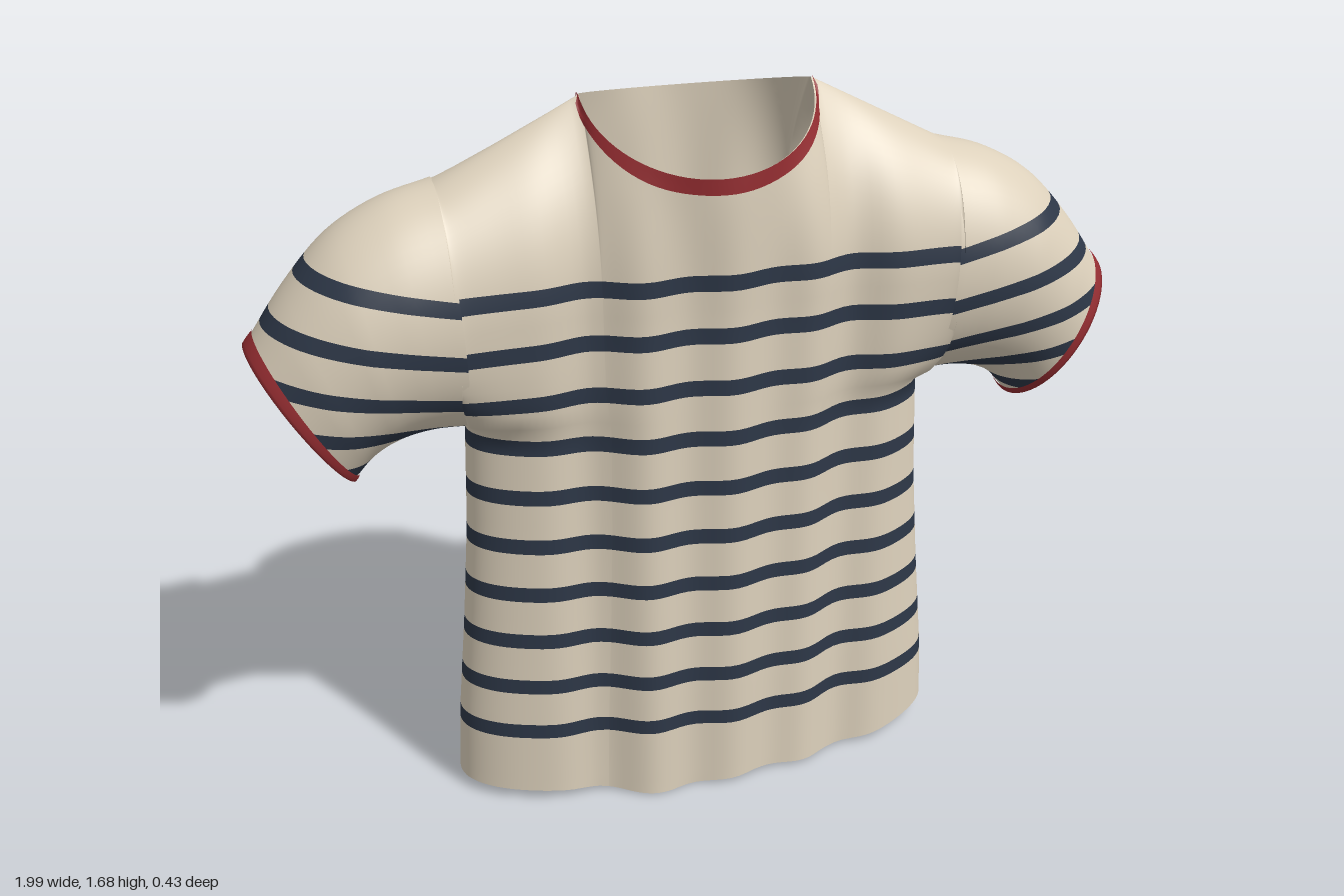
import * as THREE from 'three';
import { mergeGeometries, mergeVertices } from 'three/addons/utils/BufferGeometryUtils.js';

const cream = new THREE.MeshStandardMaterial({ color: 0xdcd0bb, side: THREE.DoubleSide });
cream.name = 'cream cloth';
const navy = new THREE.MeshStandardMaterial({ color: 0x2d3747, side: THREE.DoubleSide });
navy.name = 'navy stripe';
const red = new THREE.MeshStandardMaterial({ color: 0x922c30 });
red.name = 'red trim';

const { lerp, clamp } = THREE.MathUtils;
const ARM_Y = 1.24, ARM_H = 0.28, ARM_Z = 0.198, ARM_SHIFT = -0.016; // armhole ellipse
const NECK_X = 0.258, SHOULDER_X = 0.575, NECK_U = NECK_X / SHOULDER_X;

// Piecewise linear lookup through [key, value] pairs
function lookup(pairs, k) {
  for (let i = 1; i < pairs.length; i++) {
    const [a, va] = pairs[i - 1], [b, vb] = pairs[i];
    if (k <= b) return lerp(va, vb, clamp((k - a) / (b - a), 0, 1));
  }
  return pairs[pairs.length - 1][1];
}

// Grid surface; point(i, j) gives [x, y, z]
function grid(rows, cols, point) {
  const pos = [], index = [];
  for (let i = 0; i <= rows; i++) for (let j = 0; j <= cols; j++) pos.push(...point(i, j));
  for (let i = 0; i < rows; i++) for (let j = 0; j < cols; j++) {
    const a = i * (cols + 1) + j, d = a + cols + 1;
    index.push(a, a + 1, d + 1, a, d + 1, d);
  }
  const g = new THREE.BufferGeometry();
  g.setAttribute('position', new THREE.Float32BufferAttribute(pos, 3));
  g.setIndex(index);
  return g;
}

function smooth(g) {
  const m = mergeVertices(g, 1e-4);
  m.computeVertexNormals();
  return m;
}

// Keep the part of a polygon where sign * (h - level) >= 0; h is the 7th entry
function clip(poly, level, sign) {
  const out = [];
  poly.forEach((p, i) => {
    const q = poly[(i + 1) % poly.length];
    const dp = sign * (p[6] - level), dq = sign * (q[6] - level);
    if (dp >= 0) out.push(p);
    if (dp * dq < 0) out.push(p.map((v, k) => lerp(v, q[k], dp / (dp - dq))));
  });
  return out;
}

// Cut a smooth surface into cloth and stripes along level lines of height(x, y)
function striped(name, geo, height, centres, width) {
  const levels = [-9, ...centres.flatMap(c => [c - width / 2, c + width / 2]), 9];
  const P = geo.attributes.position, N = geo.attributes.normal, idx = geo.index;
  const parts = [[], []];
  for (let t = 0; t < idx.count; t += 3) {
    const tri = [0, 1, 2].map(k => {
      const v = idx.getX(t + k), x = P.getX(v), y = P.getY(v);
      return [x, y, P.getZ(v), N.getX(v), N.getY(v), N.getZ(v), height(x, y)];
    });
    for (let b = 0; b + 1 < levels.length; b++) {
      const poly = clip(clip(tri, levels[b], 1), levels[b + 1], -1);
      for (let k = 2; k < poly.length; k++) parts[b % 2].push(poly[0], poly[k - 1], poly[k]);
    }
  }
  const group = new THREE.Group();
  group.name = name;
  parts.forEach((verts, k) => {
    const g = new THREE.BufferGeometry();
    g.setAttribute('position', new THREE.Float32BufferAttribute(verts.flatMap(v => v.slice(0, 3)), 3));
    g.setAttribute('normal', new THREE.Float32BufferAttribute(verts.flatMap(v => v.slice(3, 6)), 3));
    const mesh = new THREE.Mesh(g, k ? navy : cream);
    mesh.name = name + (k ? 'Stripes' : 'Cloth');
    group.add(mesh);
  });
  return group;
}

// Torso profiles by height, and the hem line across the width
const WIDTH = [[0, 0.608], [0.2, 0.597], [0.45, 0.572], [0.7, 0.551], [0.96, 0.54], [1.06, 0.564], [1.52, SHOULDER_X]];
const FRONT = [[0, 0.208], [0.3, 0.204], [0.8, 0.19], [1.2, 0.185], [1.5, 0.195]];
const BACK = [[0, 0.197], [0.3, 0.191], [0.8, 0.174], [1.2, 0.17], [1.6, 0.165]];
const HEM = [[-1, 0.032], [-0.65, 0.027], [-0.35, 0.008], [-0.2, 0.004], [0.13, 0.02], [0.5, 0.01], [0.8, 0.03], [1, 0.046]];

// Upper edge of a panel: neckline in the middle, shoulder seam outside
function topEdge(u, side) {
  const x = Math.abs(u) * SHOULDER_X;
  if (x >= NECK_X - 1e-6) return [lerp(1.68, 1.52, (x - NECK_X) / (SHOULDER_X - NECK_X)), 0];
  const q = Math.sqrt(1 - (x / NECK_X) ** 2);
  return side > 0 ? [1.68 - 0.149 * q, 0.2 * q] : [1.68 - 0.038 * q, -0.165 * q];
}

// Point on the front (side 1) or back (side -1) panel
function torsoPoint(u, y, side) {
  const [yTop, zTop] = topEdge(u, side), au = Math.min(1, Math.abs(u));
  const x = u * lookup(WIDTH, y);
  const round = (1 - au ** 2.1) ** (1 / 2.1);
  const low = clamp((ARM_Y - y) / ARM_H, 0, 1);
  const t = clamp((y - ARM_Y) / (yTop - ARM_Y), 0, 1);
  // hanging folds, with a hollow below each neck corner
  const fold = 0.010 * Math.cos(31 * (x - 0.03)) * Math.exp(-((x / 0.42) ** 4));
  const hollow = (side > 0 ? 0.03 : 0.016) * Math.exp(-(((Math.abs(x) - 0.31) / 0.085) ** 2));
  const depth = lookup(side > 0 ? FRONT : BACK, y) + fold - hollow;
  const arm = (1 - round) ** 1.2 * (ARM_Z + side * ARM_SHIFT) * Math.sqrt(1 - low * low);
  const z = side * (round * depth + arm);
  const outer = clamp((au - NECK_U) / (1 - NECK_U), 0, 1);
  const fall = lerp(1 - t ** 2.2, Math.sqrt(1 - t * t), outer);
  return [x, y, zTop + (z - zTop) * fall];
}

// Columns across a panel, with one exactly at each neck corner
const neckCols = [], sideCols = [];
for (let k = 0; k <= 40; k++) neckCols.push(NECK_U * Math.sin((k / 40 - 0.5) * Math.PI));
for (let k = 1; k <= 24; k++) sideCols.push(lerp(NECK_U, 1, Math.sin((k / 24) * Math.PI / 2)));
const columns = [...sideCols.map(u => -u).reverse(), ...neckCols, ...sideCols];

function torsoPanel(side) {
  const low = 34, high = 20, n = columns.length - 1;
  return grid(low + high, n, (i, j) => {
    const u = columns[j] * side;
    const y = i <= low ? lerp(lookup(HEM, u), ARM_Y, i / low)
      : lerp(ARM_Y, topEdge(u, side)[0], Math.sin(((i - low) / high) * Math.PI / 2));
    return torsoPoint(u, y, side);
  });
}

// Thin trim lying just outside the neckline, spreading a little onto the shoulders
function collarPanel(side) {
  return grid(4, neckCols.length - 1, (i, j) => {
    const drop = 1 - i / 4, u = neckCols[j] * side, out = u * (1 + 0.03 * drop);
    const fall = lerp(0.035, 0.018, Math.abs(u / NECK_U) ** 4) * drop;
    const y = Math.min(topEdge(u, side)[0] - fall, topEdge(out, side)[0]);
    const [x, py, z] = torsoPoint(out, y, side);
    return [x * 1.01, py + 0.003, z * 1.02 + side * 0.002];
  });
}

// Sleeve outlines seen from the front
const curve = pts => new THREE.CatmullRomCurve3(pts.map(([x, y]) => new THREE.Vector3(x, y, 0)));
const sleeveTop = curve([[0.573, 1.52], [0.69, 1.487], [0.8, 1.425], [0.9, 1.32], [0.994, 1.19]]);
const sleeveBottom = curve([[0.54, 0.96], [0.62, 0.963], [0.69, 0.95], [0.745, 0.92], [0.79, 0.87]]);

// Point on a sleeve ring; grow widens the ring outwards
function sleevePoint(s, angle, dir, grow = 0) {
  const a = sleeveTop.getPoint(s), b = sleeveBottom.getPoint(s);
  const k = (1 + (1 + grow / 0.18) * Math.sin(angle)) / 2;
  const half = lookup([[0, ARM_Z], [0.25, 0.201], [0.5, 0.199], [0.8, 0.183], [1, 0.162]], s) + grow;
  return [dir * lerp(b.x, a.x, k), lerp(b.y, a.y, k), lerp(ARM_SHIFT, -0.01, s) + half * Math.cos(angle)];
}

function sleeveGrid(rows, dir, ring) {
  return smooth(grid(rows, 64, (i, j) => sleevePoint(ring(i)[0], -dir * (j / 64) * Math.PI * 2, dir, ring(i)[1])));
}

// Cuff section as [position along the sleeve, offset]: outer band, rim, inner lip
const CUFF = [[0.945, 0.002], [0.965, 0.004], [0.985, 0.005], [1, 0.005], [1, -0.005], [0.98, -0.004], [0.955, -0.003]];

export function createModel() {
  const shirt = new THREE.Group();
  shirt.name = 'stripedShirt';

  const torso = smooth(mergeGeometries([torsoPanel(1), torsoPanel(-1)]));
  const rows = Array.from({ length: 10 }, (_, i) => 0.198 + 0.1225 * i);
  shirt.add(striped('torso', torso, (x, y) => y, rows, 0.037));

  const collar = new THREE.Mesh(smooth(mergeGeometries([collarPanel(1), collarPanel(-1)])), red);
  collar.name = 'collar';
  shirt.add(collar);

  for (const dir of [1, -1]) {
    const side = dir > 0 ? 'left' : 'right';
    // sleeve stripes rise gently towards the cuff
    const slope = (x, y) => y - 0.22 * (Math.abs(x) - 0.57);
    const sleeve = sleeveGrid(24, dir, i => [i / 24, 0]);
    shirt.add(striped(side + 'Sleeve', sleeve, slope, [0.868, 0.966, 1.065, 1.177, 1.297], 0.035));

    const cuff = new THREE.Mesh(sleeveGrid(CUFF.length - 1, dir, i => CUFF[i]), red);
    cuff.name = side + 'Cuff';
    shirt.add(cuff);
  }
  return shirt;
}
